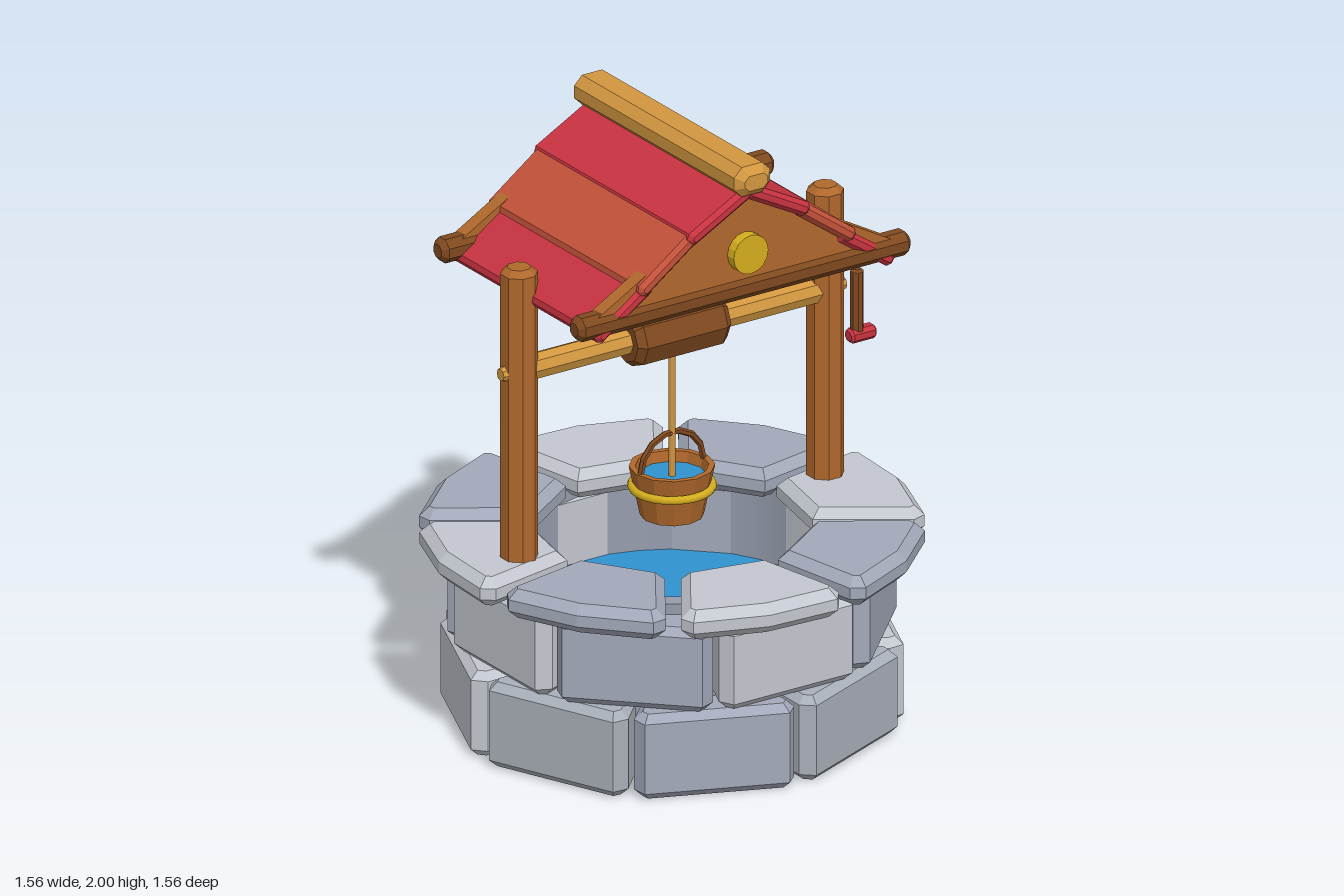
import * as THREE from 'three';

const WOOD = 0xb0682c, DARK = 0x80491f, PALE = 0xd2973f, RED = 0xc93340, ORANGE = 0xc4523a,
  GOLD = 0xd6ae1e, WATER = 0x2f92cf, LIGHT = 0xc3c7cf, BLUE = 0xa3a9ba, GREY = 0xaab0ba;

function add(parent, name, geometry, color, { flat = true, side = THREE.FrontSide } = {}) {
  const mat = new THREE.MeshStandardMaterial({ color, flatShading: flat, side });
  const mesh = new THREE.Mesh(geometry, mat);
  mesh.name = name;
  parent.add(mesh);
  return mesh;
}

const shapeOf = pts => new THREE.Shape(pts.map(p => new THREE.Vector2(p[0], p[1])));

const bevelled = (shape, depth, b) => new THREE.ExtrudeGeometry(shape, {
  depth: depth - 2 * b, bevelEnabled: true, bevelSize: b, bevelThickness: b, bevelSegments: 1,
});

// Chamfered beam running along z, centred on the origin
function beam(w, h, length, b, cut = b) {
  const x = w / 2 - b, y = h / 2 - b, c = Math.min(cut, x * 0.6, y * 0.6);
  const shape = shapeOf([[x, -y + c], [x, y - c], [x - c, y], [-x + c, y],
    [-x, y - c], [-x, -y + c], [-x + c, -y], [x - c, -y]]);
  return bevelled(shape, length, b).center();
}

// Ring of wedge-shaped stones with chamfered edges
function stoneRing(parent, name, { rIn, rOut, y, h, b, gap, cut, segs, start, colors }) {
  const ring = new THREE.Group();
  ring.name = name;
  const n = 8, ro = rOut - b, ri = rIn + b;
  const half = r => Math.PI / n - Math.asin((gap + b) / r);
  const polar = (r, a) => [r * Math.cos(a), r * Math.sin(a)];
  const ho = half(ro), hi = half(ri), ht = ho - cut / ro;
  const pts = [polar(ri, hi), polar(ri, -hi), polar(ro - cut, -ho)];
  for (let i = 0; i <= segs; i++) pts.push(polar(ro, -ht + 2 * ht * i / segs));
  pts.push(polar(ro - cut, ho));
  const geo = bevelled(shapeOf(pts), h, b).rotateX(-Math.PI / 2);
  for (let i = 0; i < n; i++) {
    const stone = add(ring, 'stone', geo, colors[i % colors.length]);
    stone.position.y = y + b;
    stone.rotation.y = start + i * Math.PI * 2 / n;
  }
  parent.add(ring);
}

export function createModel() {
  const well = new THREE.Group();
  well.name = 'well';

  // Stone base: two staggered courses and a rim
  const course = { rIn: 0.52, b: 0.025, gap: 0.01, cut: 0.02, segs: 1 };
  stoneRing(well, 'lowerStones', { ...course, rOut: 0.72, y: 0, h: 0.285,
    start: Math.PI / 8, colors: [GREY, BLUE, GREY, LIGHT] });
  stoneRing(well, 'upperStones', { ...course, rOut: 0.7, y: 0.285, h: 0.28,
    start: 0, colors: [LIGHT, BLUE] });
  stoneRing(well, 'rimStones', { rIn: 0.43, rOut: 0.785, y: 0.565, h: 0.098, b: 0.03, gap: 0.025,
    cut: 0.015, segs: 2, start: 78.5 * Math.PI / 180, colors: [LIGHT, BLUE] });

  // Inner wall and water
  const wall = [[0.5, 0.06], [0.56, 0.06], [0.56, 0.6], [0.5, 0.6], [0.5, 0.06]];
  const profile = [];
  for (let i = 0; i < 4; i++) profile.push(wall[i], wall[i + 1]);
  add(well, 'innerWall', new THREE.LatheGeometry(profile.map(p => new THREE.Vector2(...p)), 32),
    0x959cad, { flat: false, side: THREE.DoubleSide });
  add(well, 'water', new THREE.CircleGeometry(0.505, 32).rotateX(-Math.PI / 2), WATER,
    { side: THREE.DoubleSide }).position.y = 0.33;

  // Posts with the axle ends
  for (const s of [-1, 1]) {
    const post = add(well, 'post', beam(0.11, 0.11, 1.04, 0.02).rotateX(Math.PI / 2), WOOD);
    post.position.set(s * 0.575, 1.12, 0);
    const peg = add(well, 'axleEnd', new THREE.CylinderGeometry(0.02, 0.03, 0.03, 8), PALE);
    peg.rotation.z = -s * Math.PI / 2;
    peg.position.set(s * 0.63, 1.29, 0);
  }

  // Axle and winding drum
  const axle = add(well, 'axle', new THREE.CylinderGeometry(0.043, 0.043, 1.16, 8), PALE);
  axle.rotation.z = Math.PI / 2;
  axle.position.y = 1.29;
  const drumProfile = [[0, -0.175], [0.07, -0.175], [0.09, -0.15], [0.09, 0.15], [0.07, 0.175], [0, 0.175]];
  const drum = add(well, 'drum',
    new THREE.LatheGeometry(drumProfile.map(p => new THREE.Vector2(...p)), 8), DARK);
  drum.rotation.z = Math.PI / 2;
  drum.position.y = 1.29;

  // Crank
  const arm = add(well, 'crankArm', beam(0.04, 0.04, 0.22, 0.008).rotateX(Math.PI / 2), DARK);
  arm.position.set(0.695, 1.215, 0);
  const grip = add(well, 'crankGrip', beam(0.05, 0.045, 0.095, 0.008).rotateY(Math.PI / 2), RED);
  grip.position.set(0.71, 1.103, 0);

  // Gables and cross beams
  for (const s of [-1, 1]) {
    const cross = add(well, 'crossBeam', beam(0.08, 0.08, 1.25, 0.018).rotateY(Math.PI / 2), DARK);
    cross.position.set(0, 1.57, s * 0.375);
    const gable = new THREE.ExtrudeGeometry(shapeOf([[-0.57, 1.59], [0.57, 1.59], [0, 1.91]]),
      { depth: 0.05, bevelEnabled: false });
    add(well, 'gable', gable, WOOD).position.z = s * 0.375 - 0.025;
  }
  const disc = add(well, 'gableDisc', new THREE.CylinderGeometry(0.065, 0.065, 0.04, 16), GOLD);
  disc.rotation.x = Math.PI / 2;
  disc.position.set(0, 1.695, 0.415);

  // Roof planks: lower end, upper end, depth, colour
  const planks = [
    [0.55, 1.532, 0.36, 1.662, 0.825, RED],
    [0.395, 1.655, 0.2, 1.795, 0.85, ORANGE],
    [0.217, 1.79, 0, 1.905, 0.87, RED],
  ];
  for (const s of [-1, 1]) for (const [x0, y0, x1, y1, depth, color] of planks) {
    const length = Math.hypot(x1 - x0, y1 - y0) + 0.02;
    const plank = add(well, 'roofPlank', beam(length, 0.048, depth, 0.014), color);
    plank.position.set(s * (x0 + x1) / 2, (y0 + y1) / 2, 0);
    plank.rotation.z = -s * Math.atan2(y1 - y0, x0 - x1);
  }
  add(well, 'ridgeBeam', beam(0.135, 0.1, 0.93, 0.025), PALE).position.y = 1.95;

  // Rope and bucket
  const rope = add(well, 'rope', new THREE.CylinderGeometry(0.011, 0.011, 0.46, 8), PALE, { flat: false });
  rope.position.y = 1.01;
  const bucket = new THREE.Group();
  bucket.name = 'bucket';
  well.add(bucket);
  const bucketProfile = [[0, 0.665], [0.1, 0.665], [0.135, 0.83], [0.115, 0.83], [0.105, 0.78]];
  add(bucket, 'bucketBody', new THREE.LatheGeometry(bucketProfile.map(p => new THREE.Vector2(...p)), 12),
    WOOD, { side: THREE.DoubleSide });
  add(bucket, 'bucketWater', new THREE.CircleGeometry(0.108, 12).rotateX(-Math.PI / 2), WATER).position.y = 0.795;
  const hoop = add(bucket, 'bucketHoop', new THREE.TorusGeometry(0.126, 0.014, 8, 24), GOLD, { flat: false });
  hoop.rotation.x = Math.PI / 2;
  hoop.position.y = 0.763;
  const handle = add(bucket, 'bucketHandle', new THREE.TorusGeometry(0.118, 0.011, 6, 7, Math.PI), DARK);
  handle.position.y = 0.825;

  return well;
}
